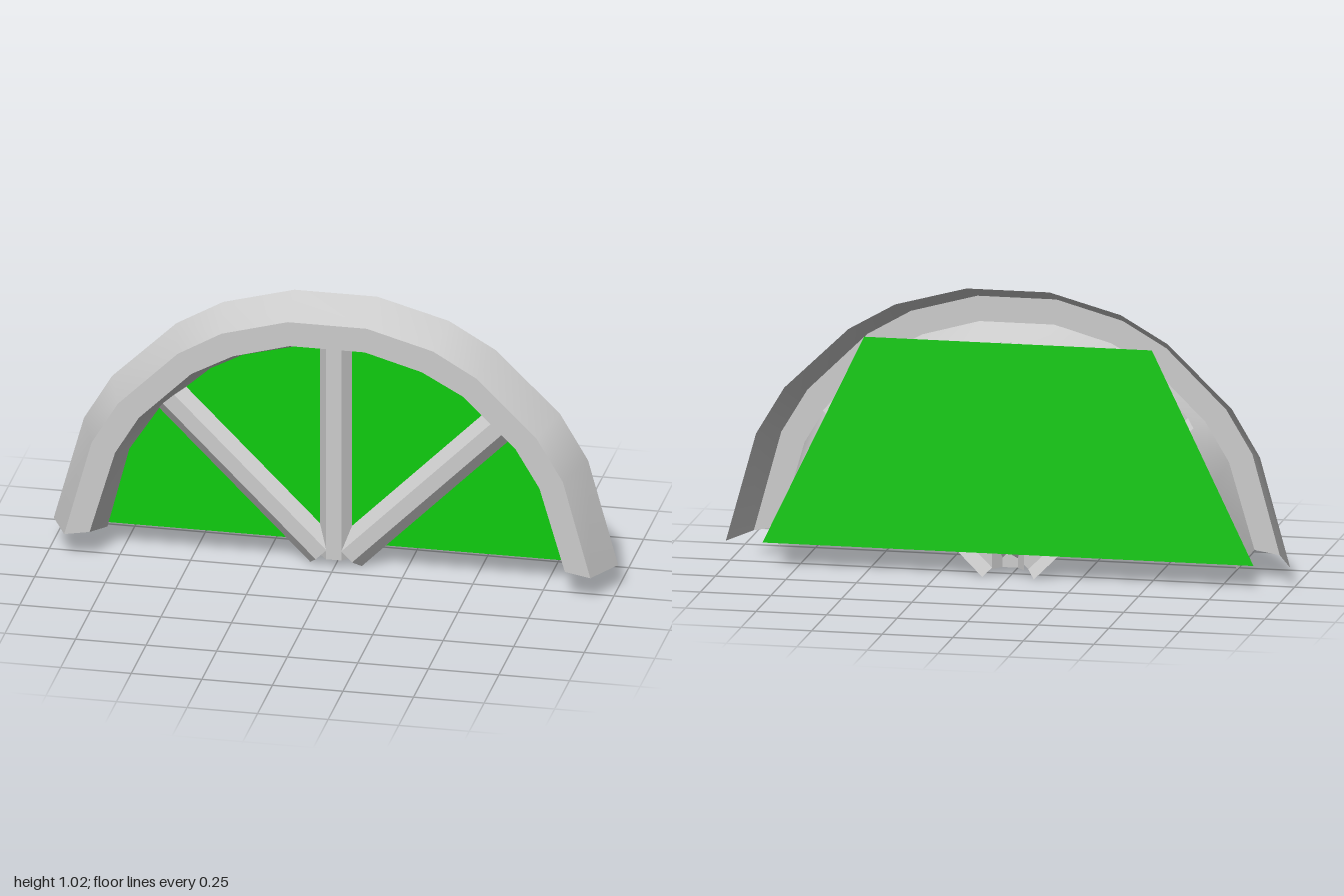
import * as THREE from 'three';

const BACK = -0.073, FRONT = 0.075, SPOKE_FRONT = -0.037;

const grey = new THREE.MeshStandardMaterial({ color: 0xcccccc, side: THREE.DoubleSide });
const green = new THREE.MeshStandardMaterial({ color: 0x0ccc0c, side: THREE.DoubleSide });

// Open skin between neighbouring rails; each strip keeps its own vertices so
// it is smooth along its length and sharp at the rails.
function skin(rails, name) {
  const group = new THREE.Group();
  group.name = name;
  for (let r = 0; r < rails.length - 1; r++) {
    const a = rails[r], b = rails[r + 1], n = a.length;
    const index = [];
    for (let i = 0; i < n - 1; i++) {
      index.push(i, i + 1, n + i, n + i, i + 1, n + i + 1);
    }
    const geometry = new THREE.BufferGeometry();
    geometry.setAttribute('position', new THREE.Float32BufferAttribute([...a, ...b].flat(), 3));
    geometry.setIndex(index);
    geometry.computeVertexNormals();
    const mesh = new THREE.Mesh(geometry, grey);
    mesh.name = `${name}Face${r + 1}`;
    group.add(mesh);
  }
  return group;
}

// Full arch rail from its +x half
function archRail(half, z) {
  const right = half.map(([x, y]) => [x, y, z]);
  const left = half.map(([x, y]) => [-x, y, z]).reverse();
  return [...right, ...left];
}

// Bevelled glazing bar standing on the fan centre, open at the back
function spoke(angle, start, name) {
  const rail = (x, z) => [[x, start, z], [x, start + 0.8, z]];
  const w = angle ? 0.065 : 0.057;
  const bar = skin([rail(w, BACK), rail(0.027, SPOKE_FRONT), rail(-0.027, SPOKE_FRONT), rail(-w, BACK)], name);
  bar.rotation.z = angle;
  return bar;
}

export function createModel() {
  const model = new THREE.Group();
  model.name = 'fanWindow';

  // Arched frame with splayed outer and inner sides
  const outerBack = [[1, 0.085], [0.893, 0.472], [0.793, 0.64], [0.565, 0.86], [0.4, 0.955], [0.147, 1.024]];
  const outerFront = [[0.932, 0.092], [0.835, 0.447], [0.742, 0.602], [0.53, 0.81], [0.375, 0.9], [0.14, 0.965]];
  const innerFront = [[0.842, 0.108], [0.752, 0.415], [0.668, 0.555], [0.482, 0.738], [0.335, 0.818], [0.133, 0.875]];
  const innerBack = [[0.81, 0.068], [0.732, 0.37], [0.622, 0.54], [0.445, 0.7], [0.31, 0.772], [0.125, 0.815]];
  model.add(skin([
    archRail(outerBack, BACK),
    archRail(outerFront, FRONT),
    archRail(innerFront, FRONT),
    archRail(innerBack, BACK),
  ], 'archFrame'));

  // Three glazing bars fanning out from the base
  model.add(spoke(0, 0.03, 'centreSpoke'));
  model.add(spoke(-Math.PI / 4, 0.064, 'leftSpoke'));
  model.add(spoke(Math.PI / 4, 0.064, 'rightSpoke'));

  // Flat trapezoid pane behind the frame
  const outline = [[-0.87, 0.085], [0.87, 0.085], [0.51, 0.835], [-0.51, 0.835]];
  const shape = new THREE.Shape(outline.map(([x, y]) => new THREE.Vector2(x, y)));
  const pane = new THREE.Mesh(new THREE.ShapeGeometry(shape), green);
  pane.name = 'pane';
  pane.position.z = BACK - 0.0005;
  model.add(pane);

  return model;
}
